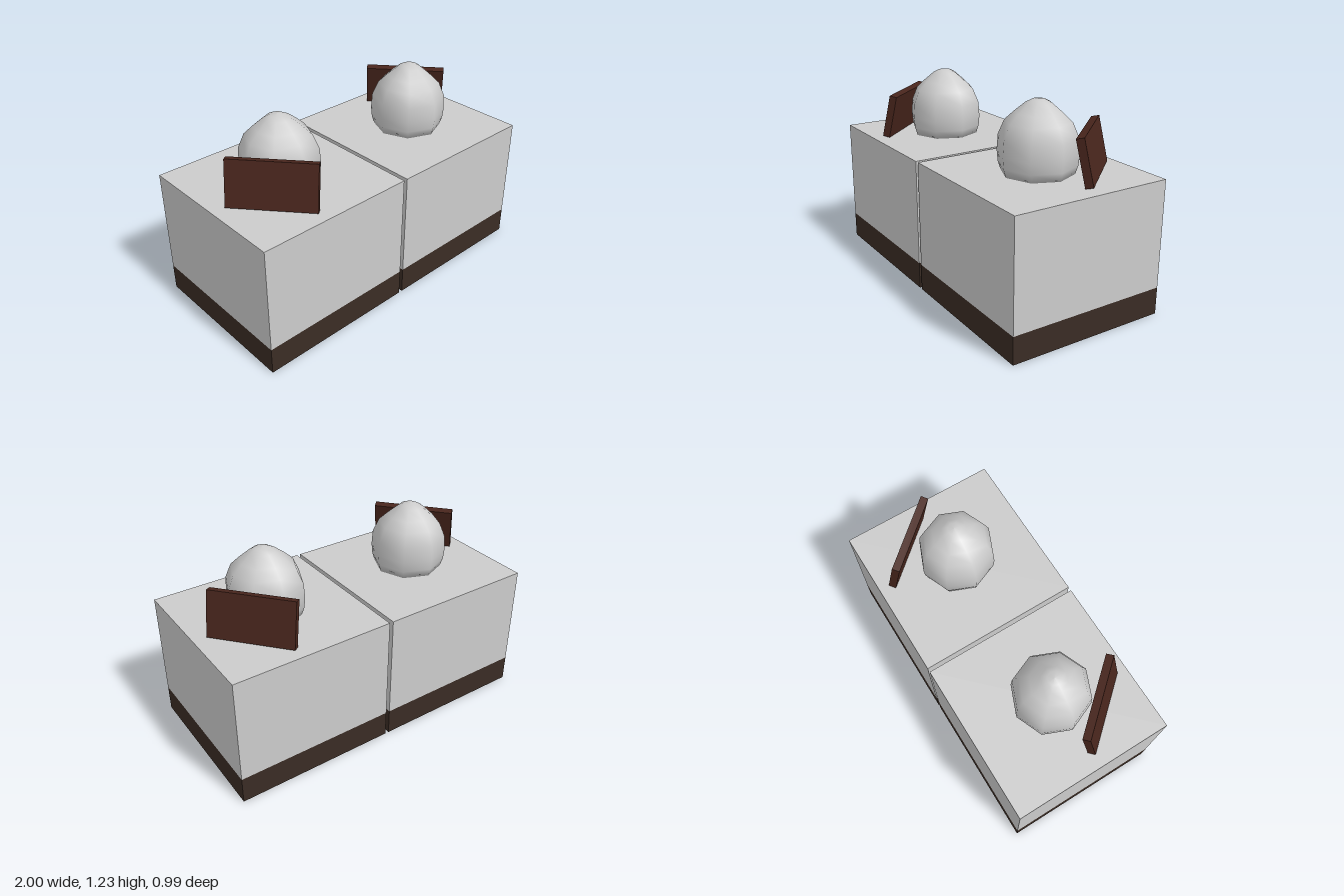
import * as THREE from 'three';

const cream = new THREE.MeshStandardMaterial({ color: 0xcccccc });
const crust = new THREE.MeshStandardMaterial({ color: 0x3a2c24 });
const chocolate = new THREE.MeshStandardMaterial({ color: 0x48251c });

const WIDTH = 0.988, DEPTH = 0.99, BASE_TOP = 0.165, CAKE_TOP = 0.815;

function addMesh(parent, name, geometry, material, x, y, z) {
  const mesh = new THREE.Mesh(geometry, material);
  mesh.name = name;
  mesh.position.set(x, y, z);
  parent.add(mesh);
  return mesh;
}

// Eight-sided whipped dollop, from its foot up to the rounded tip
function dollopGeometry() {
  const profile = [
    [0, 0], [0.21, 0], [0.226, 0.05], [0.232, 0.115], [0.226, 0.205],
    [0.19, 0.29], [0.135, 0.342], [0.075, 0.392], [0.04, 0.411], [0, 0.417],
  ].map(([r, y]) => new THREE.Vector2(r, y));
  return new THREE.LatheGeometry(profile, 8);
}

export function createModel() {
  const model = new THREE.Group();
  model.name = 'layeredCakes';

  for (const side of [-1, 1]) {
    const cake = new THREE.Group();
    cake.name = side < 0 ? 'rightCake' : 'leftCake';
    model.add(cake);
    const x = side * (1 - WIDTH / 2);

    // Square cake on a dark base
    addMesh(cake, 'base', new THREE.BoxGeometry(WIDTH, BASE_TOP, DEPTH), crust, x, BASE_TOP / 2, 0);
    addMesh(cake, 'creamLayer', new THREE.BoxGeometry(WIDTH, CAKE_TOP - BASE_TOP, DEPTH), cream,
      x, (BASE_TOP + CAKE_TOP) / 2, 0);

    // Dollop on top
    addMesh(cake, 'dollop', dollopGeometry(), cream, side * 0.518, CAKE_TOP, 0.011);

    // Chocolate plate leaning towards the dollop
    const plate = addMesh(cake, 'chocolatePlate', new THREE.BoxGeometry(0.503, 0.272, 0.046), chocolate,
      side * 0.721, 0.953, side * -0.208);
    plate.rotation.order = 'YXZ';
    plate.rotation.set(-0.22, -0.855 + (side > 0 ? Math.PI : 0), 0);
  }
  return model;
}
